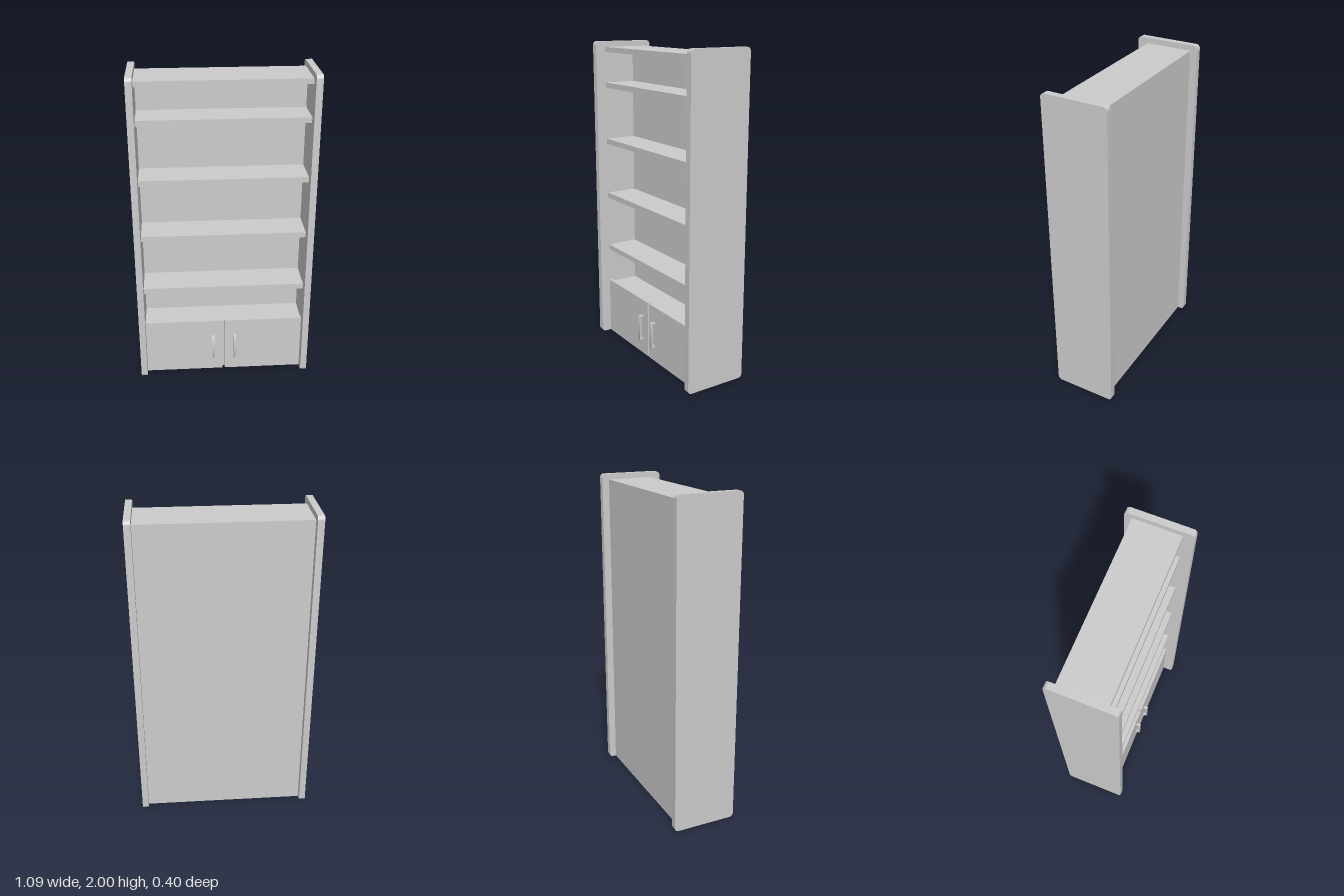
import * as THREE from 'three';
import { toCreasedNormals } from 'three/addons/utils/BufferGeometryUtils.js';

const material = new THREE.MeshStandardMaterial({ color: 0xcccccc });

export function createModel() {
  const model = new THREE.Group();
  model.name = 'bookcase';

  const add = (name, geometry) => {
    const mesh = new THREE.Mesh(geometry, material);
    mesh.name = name;
    model.add(mesh);
    return mesh;
  };

  // Box given by its minimum and maximum on each axis
  const box = (name, x0, x1, y0, y1, z0, z1) =>
    add(name, new THREE.BoxGeometry(x1 - x0, y1 - y0, z1 - z0))
      .position.set((x0 + x1) / 2, (y0 + y1) / 2, (z0 + z1) / 2);

  // Profile drawn with x = depth, y = height, extruded along the model's x
  const slab = (name, shape, x0, width) => {
    const g = new THREE.ExtrudeGeometry(shape, { depth: width, bevelEnabled: false, curveSegments: 6 });
    g.rotateY(-Math.PI / 2); // depth becomes +z, extrusion runs to -x
    g.translate(x0 + width, 0, 0);
    return add(name, toCreasedNormals(g, 0.6));
  };

  const inner = 0.507, outer = 0.547;   // side panel faces
  const front = 0.135, wall = -0.07, back = -0.155;

  // Side panels with rounded corners
  const d = 0.2, h = 2, r = 0.024;
  const side = new THREE.Shape();
  side.moveTo(-d + r, 0);
  side.lineTo(d - r, 0);
  side.absarc(d - r, r, r, -Math.PI / 2, 0);
  side.absarc(d - r, h - r, r, 0, Math.PI / 2);
  side.absarc(-d + r, h - r, r, Math.PI / 2, Math.PI);
  side.absarc(-d + r, r, r, Math.PI, Math.PI * 1.5);
  slab('leftSidePanel', side, inner, outer - inner);
  slab('rightSidePanel', side, -outer, outer - inner);

  // Thick back, top board and shelves
  box('backPanel', -inner, inner, 0, 1.965, back, wall);
  box('topBoard', -inner, inner, 1.933, 1.965, wall, front);
  for (const y of [0.6, 0.968, 1.336, 1.705]) {
    box('shelf', -inner, inner, y, y + 0.034, wall, front);
  }

  // Base cabinet behind the doors
  const doorBack = front - 0.025;
  box('cabinetBody', -inner, inner, 0, 0.36, wall, doorBack);

  // Bracket-shaped handle profile, standing off the door
  const grip = 0.162, y0 = 0.1, y1 = 0.27, t = 0.011, c = 0.007;
  const handle = new THREE.Shape();
  handle.moveTo(front, y0);
  handle.lineTo(grip - c, y0);
  handle.absarc(grip - c, y0 + c, c, -Math.PI / 2, 0);
  handle.absarc(grip - c, y1 - c, c, 0, Math.PI / 2);
  handle.lineTo(front, y1);
  handle.lineTo(front, y1 - t);
  handle.lineTo(grip - t, y1 - t);
  handle.lineTo(grip - t, y0 + t);
  handle.lineTo(front, y0 + t);

  // Pair of doors, each with a handle near the middle
  for (const s of [-1, 1]) {
    const label = s > 0 ? 'left' : 'right';
    box(label + 'Door', s > 0 ? 0.007 : -inner, s > 0 ? inner : -0.007, 0, 0.375, doorBack, front);
    slab(label + 'DoorHandle', handle, s * 0.07 - 0.009, 0.018);
  }

  return model;
}
